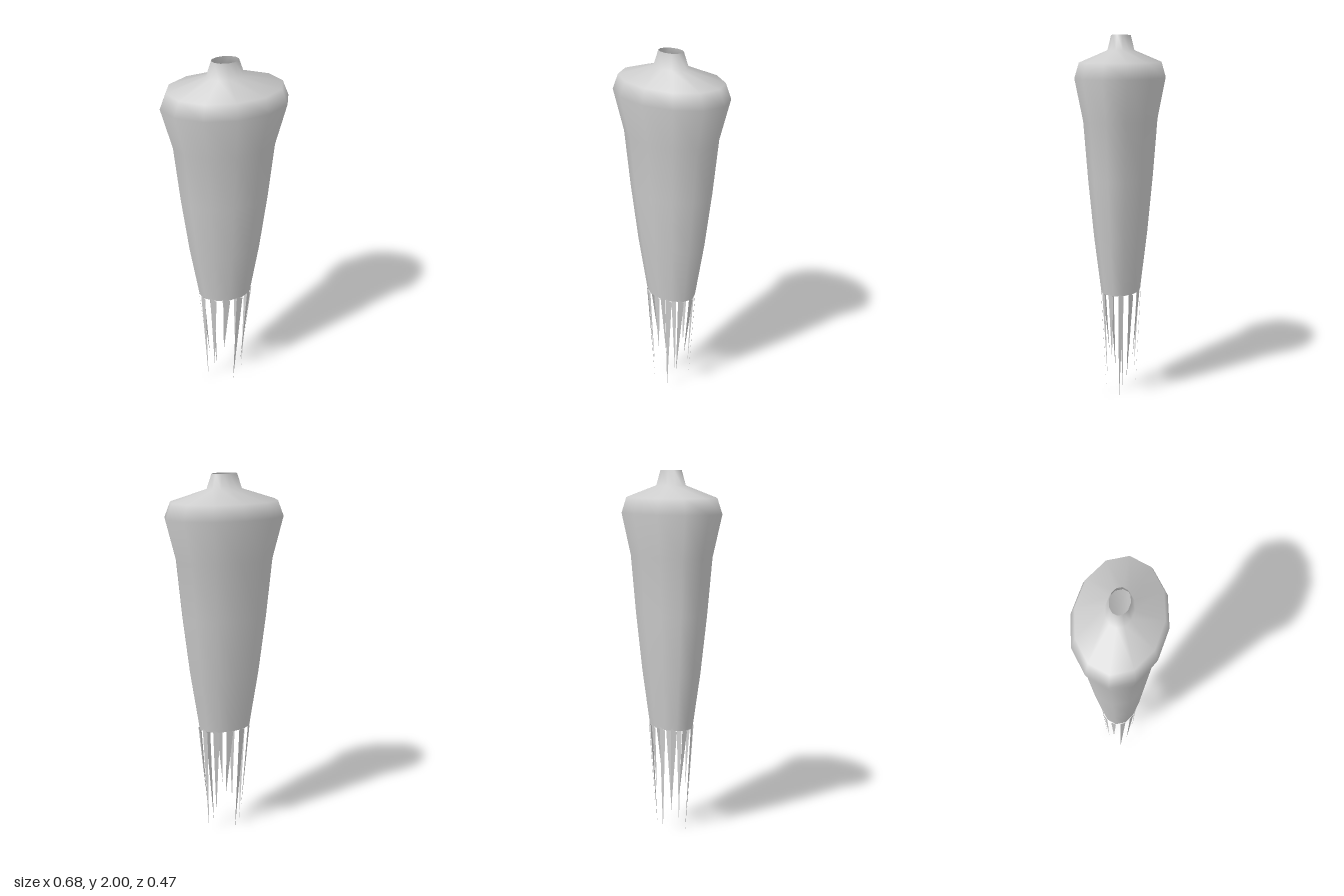
import * as THREE from 'three';

const DEPTH = 0.7; // oval squash along z
const material = new THREE.MeshStandardMaterial({ color: 0xcccccc, side: THREE.DoubleSide });

// Point on an oval ring, angle in degrees from +x towards +z
const ring = (deg, r, y) => {
  const a = THREE.MathUtils.degToRad(deg);
  return [r * Math.cos(a), y, DEPTH * r * Math.sin(a)];
};

// Thin pointed strip hanging from the hem
function makeTatter(angle, tipY) {
  const geometry = new THREE.BufferGeometry();
  geometry.setAttribute('position', new THREE.Float32BufferAttribute([
    ...ring(angle, 0.152, 0.6),
    ...ring(angle + 15, 0.154, 0.62),
    ...ring(angle + 15, 0.112, tipY),
  ], 3));
  geometry.computeVertexNormals();
  return new THREE.Mesh(geometry, material);
}

export function createModel() {
  const model = new THREE.Group();
  model.name = 'tatteredGarment';

  // Hollow twelve-sided body, from hem through shoulders to open collar
  const profile = [
    [0.15, 0.605], [0.203, 0.92], [0.245, 1.24], [0.278, 1.55],
    [0.339, 1.775], [0.306, 1.857], [0.1, 1.92], [0.072, 2],
  ].map(([r, y]) => new THREE.Vector2(r, y));
  const body = new THREE.Mesh(new THREE.LatheGeometry(profile, 12), material);
  body.scale.z = DEPTH;
  body.name = 'body';
  model.add(body);

  // Ragged strips in three repeating lengths
  const tatters = new THREE.Group();
  tatters.name = 'tatters';
  const tips = [0.23, 0.12, 0];
  for (let i = 0; i < 12; i++) {
    const tatter = makeTatter(i * 30, tips[i % 3]);
    tatter.name = 'tatter' + (i + 1);
    tatters.add(tatter);
  }
  model.add(tatters);
  return model;
}
